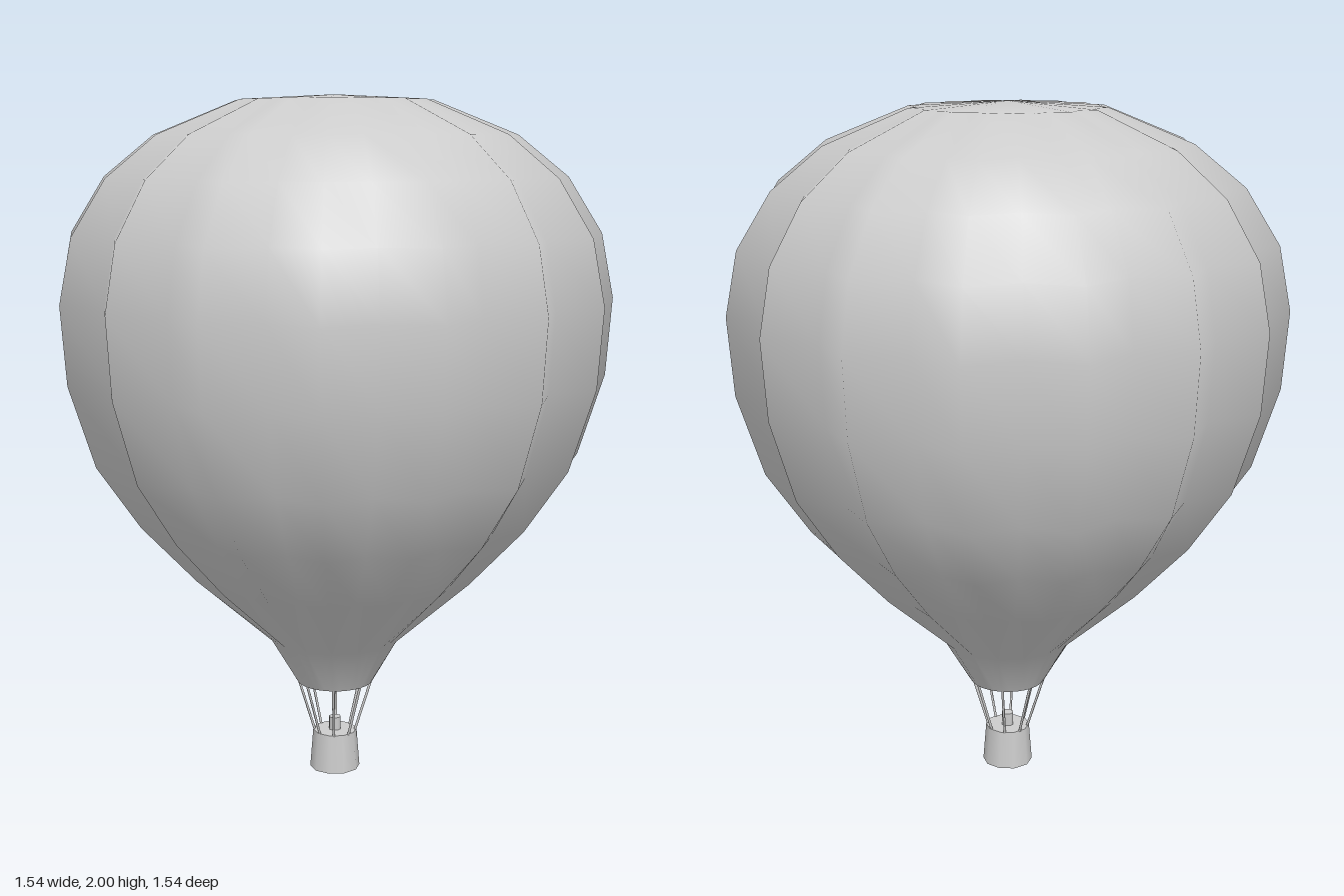
import * as THREE from 'three';
import { mergeVertices } from 'three/addons/utils/BufferGeometryUtils.js';

const GORES = 16;
const material = new THREE.MeshStandardMaterial({ color: 0xcccccc, side: THREE.DoubleSide });
const flatMaterial = new THREE.MeshStandardMaterial({ color: 0xcccccc, side: THREE.DoubleSide, flatShading: true });

function addMesh(parent, name, geometry, mat = material) {
  const mesh = new THREE.Mesh(geometry, mat);
  mesh.name = name;
  parent.add(mesh);
  return mesh;
}

// Lathe whose every second column is pulled inwards, giving pointed gores
function envelopeGeometry() {
  // [ridge radius, height, depth of the valley as a share of the radius]
  const rings = [
    [0.112, 0.30, 0], [0.195, 0.44, 0.02], [0.418, 0.64, 0.07], [0.576, 0.81, 0.09],
    [0.698, 0.99, 0.1], [0.77, 1.22, 0.1], [0.785, 1.44, 0.1], [0.749, 1.62, 0.1],
    [0.652, 1.775, 0.1], [0.51, 1.89, 0.1], [0.275, 1.985, 0.1], [0, 2, 0],
  ];
  const lathe = new THREE.LatheGeometry(rings.map(([r, y]) => new THREE.Vector2(r, y)), GORES * 2);
  const pos = lathe.attributes.position;
  for (let i = 0; i < pos.count; i++) {
    const column = Math.floor(i / rings.length);
    const scale = column % 2 === 0 ? 1 - rings[i % rings.length][2] : 1;
    pos.setXYZ(i, pos.getX(i) * scale, pos.getY(i), pos.getZ(i) * scale);
  }
  // Weld the seam so that the shading runs smoothly all round
  lathe.deleteAttribute('normal');
  lathe.deleteAttribute('uv');
  const geometry = mergeVertices(lathe, 1e-4);
  geometry.computeVertexNormals();
  return geometry;
}

// Thin straight rod between two points
function addRope(parent, name, from, to) {
  const dir = to.clone().sub(from);
  const rope = addMesh(parent, name, new THREE.CylinderGeometry(0.004, 0.004, dir.length(), 5));
  rope.position.copy(from).add(to).multiplyScalar(0.5);
  rope.quaternion.setFromUnitVectors(new THREE.Vector3(0, 1, 0), dir.normalize());
}

export function createModel() {
  const model = new THREE.Group();
  model.name = 'hotAirBalloon';

  addMesh(model, 'envelope', envelopeGeometry());

  // Basket with a slightly wider foot and a shallow pointed base
  const basket = new THREE.Group();
  basket.name = 'basket';
  model.add(basket);
  addMesh(basket, 'basketWall', new THREE.CylinderGeometry(0.065, 0.074, 0.115, 10)).position.y = 0.0865;
  addMesh(basket, 'basketBase', new THREE.CylinderGeometry(0.074, 0, 0.029, 10, 1, true), flatMaterial).position.y = 0.0145;

  // Burner above the basket
  addMesh(model, 'burner', new THREE.CylinderGeometry(0.018, 0.018, 0.05, 8)).position.y = 0.158;

  // Ropes from the basket rim to the envelope mouth
  const ropes = new THREE.Group();
  ropes.name = 'ropes';
  model.add(ropes);
  for (let i = 0; i < 8; i++) {
    const angle = Math.PI / 16 + (i * Math.PI) / 4;
    const at = (r, y) => new THREE.Vector3(Math.sin(angle) * r, y, Math.cos(angle) * r);
    addRope(ropes, 'rope', at(0.058, 0.135), at(0.11, 0.305));
  }

  return model;
}
